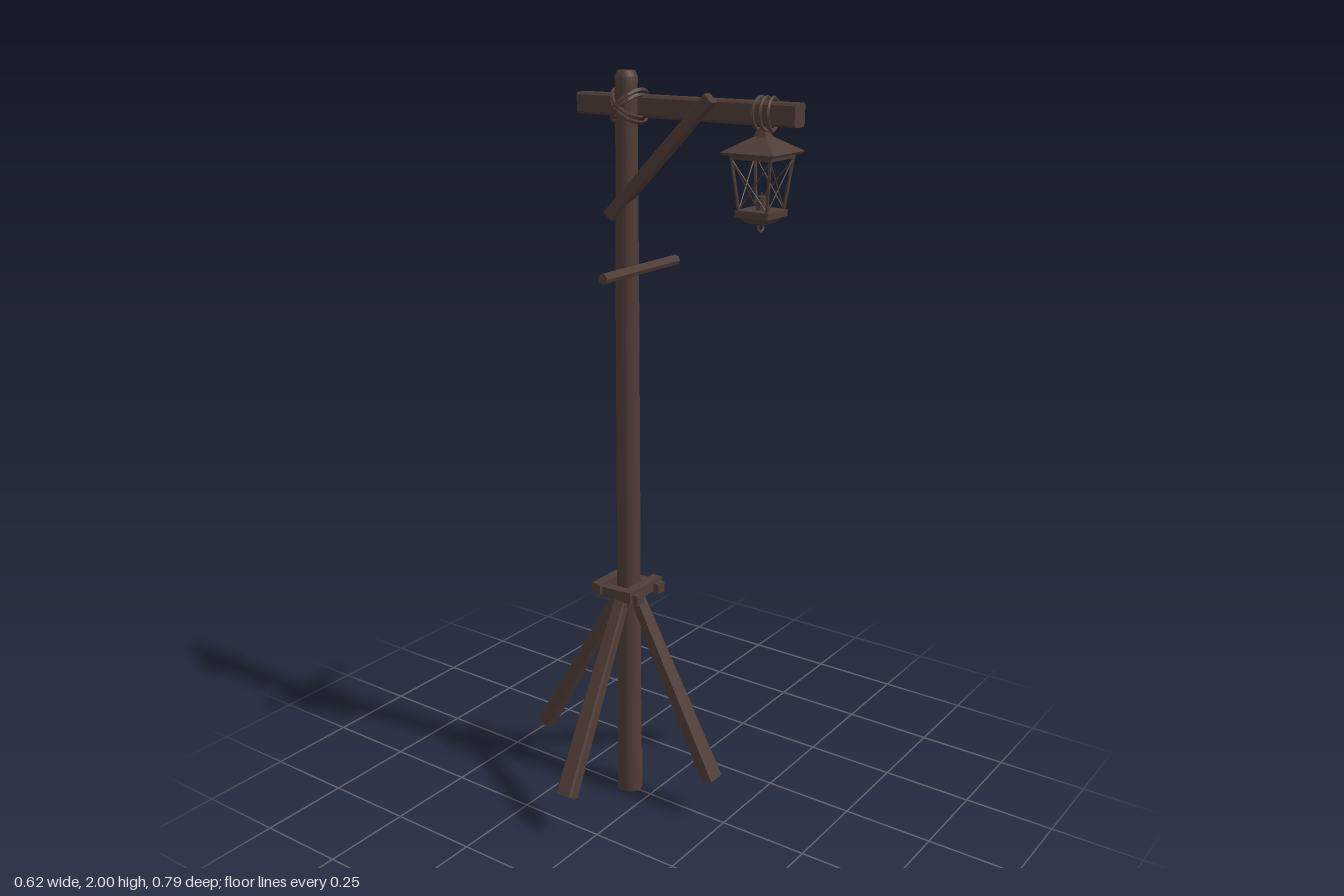
import * as THREE from 'three';
import { toCreasedNormals } from 'three/addons/utils/BufferGeometryUtils.js';

const V = (x, y, z) => new THREE.Vector3(x, y, z);
const POST = { x: 0.005, z: -0.076 };

export function createModel() {
  const model = new THREE.Group();
  model.name = 'lanternPost';
  const wood = new THREE.MeshStandardMaterial({ color: 0x4f3c36 });
  wood.name = 'dark wood';

  function add(name, geometry, parent = model, crease = 0.5) {
    const mesh = new THREE.Mesh(toCreasedNormals(geometry, crease), wood);
    mesh.name = name;
    parent.add(mesh);
    return mesh;
  }

  // Moves a geometry built along y so that it runs from a to b, kept level sideways
  function span(geometry, a, b) {
    const y = b.clone().sub(a).normalize();
    const x = y.clone().cross(V(0, 1, 0));
    if (x.lengthSq() < 1e-6) x.set(1, 0, 0);
    x.normalize();
    const z = x.clone().cross(y);
    const m = new THREE.Matrix4().makeBasis(x, y, z);
    m.setPosition(a.clone().add(b).multiplyScalar(0.5));
    return geometry.applyMatrix4(m);
  }

  function pole(name, a, b, rA, rB, sides, parent) {
    return add(name, span(new THREE.CylinderGeometry(rB, rA, a.distanceTo(b), sides), a, b), parent);
  }

  // Square timber with chamfered corners, half width wA at a and wB at b
  function timber(name, a, b, wA, wB, depth = 0.8) {
    const len = a.distanceTo(b);
    const g = new THREE.CylinderGeometry(1, 1, len, 8, 1, false, Math.PI / 8);
    const p = g.attributes.position;
    const square = (v) => (Math.abs(v) < 0.01 ? 0 : Math.sign(v) * (Math.abs(v) > 0.6 ? 1 : 0.78));
    for (let i = 0; i < p.count; i++) {
      const w = p.getY(i) > 0 ? wB : wA;
      p.setX(i, square(p.getX(i)) * w);
      p.setZ(i, square(p.getZ(i)) * w * depth);
    }
    return add(name, span(g, a, b), model, 0.3);
  }

  // Four-sided frustum with its sides facing the axes
  function frustum(name, half0, half1, y0, y1, parent) {
    const g = new THREE.CylinderGeometry(half1 * Math.SQRT2, half0 * Math.SQRT2, y1 - y0, 4, 1, false, Math.PI / 4);
    g.translate(0, (y0 + y1) / 2, 0);
    return add(name, g, parent, 0.2);
  }

  // Upright post with a worn, rounded head
  const profile = [[0, 0], [0.037, 0], [0.037, 0.11], [0.034, 0.13], [0.033, 0.62], [0.031, 1.4],
    [0.028, 1.95], [0.029, 1.985], [0.022, 2], [0, 2]];
  const post = add('post', new THREE.LatheGeometry(profile.map(([r, y]) => new THREE.Vector2(r, y)), 14), model, 0.6);
  post.position.set(POST.x, 0, POST.z);

  // Four raking struts around the foot
  const struts = [
    ['strutLeft', V(0.02, 0.615, -0.079), V(0.291, 0.118, -0.085)],
    ['strutRight', V(-0.012, 0.615, -0.08), V(-0.291, 0.118, -0.07)],
    ['strutBack', V(0.008, 0.615, -0.095), V(0, 0.118, -0.377)],
    ['strutFront', V(0.006, 0.615, -0.055), V(0.009, 0.118, 0.203)],
  ];
  for (const [name, top, foot] of struts) timber(name, foot, top, 0.026, 0.018);

  // Collar of crossed bars that clamps the struts
  for (const z of [-0.136, -0.034]) {
    const bar = add('collarCrossBar', new THREE.BoxGeometry(0.146, 0.032, 0.028));
    bar.position.set(0.008, 0.629, z);
  }
  for (const x of [-0.041, 0.057]) {
    const bar = add('collarSideBar', new THREE.BoxGeometry(0.028, 0.028, 0.155));
    bar.position.set(x, 0.623, -0.08);
  }

  // Top beam, diagonal brace and cross peg
  timber('beam', V(0.044, 1.914, -0.245), V(0.038, 1.914, 0.395), 0.022, 0.023, 1.2);
  timber('brace', V(-0.016, 1.645, -0.112), V(0.004, 1.945, 0.172), 0.016, 0.015, 1);
  pole('crossPeg', V(-0.14, 1.511, -0.044), V(0.176, 1.511, -0.044), 0.014, 0.014, 8);

  // Crossed rope lashing where the beam meets the post
  for (const tilt of [-0.75, 0.75]) {
    for (const shift of [-0.006, 0.006]) {
      const g = new THREE.TorusGeometry(1, 0.09, 6, 24);
      g.rotateX(Math.PI / 2).scale(0.055, 0.055, 0.049).rotateX(tilt);
      const rope = add('lashing', g, model, 1);
      rope.position.set(0.02, 1.915 + shift, -0.078);
    }
  }

  // Rope turns round the beam that hold the lantern
  [0.29, 0.306, 0.324].forEach((z, i) => {
    const g = new THREE.TorusGeometry(0.032, 0.0045, 6, 20);
    g.scale(1, 1.16, 1).rotateY((i - 1) * 0.12);
    add('hangingRope', g, model, 1).position.set(0.038, 1.913, z);
  });

  // Lantern
  const lantern = new THREE.Group();
  lantern.name = 'lantern';
  lantern.position.set(0.038, 0, 0.298);
  model.add(lantern);
  const loop = add('lanternLoop', new THREE.TorusGeometry(0.012, 0.003, 6, 16), lantern, 1);
  loop.position.y = 1.878;
  frustum('roofCap', 0.018, 0.013, 1.858, 1.872, lantern);
  frustum('roof', 0.073, 0.018, 1.826, 1.86, lantern);
  frustum('eave', 0.069, 0.073, 1.82, 1.826, lantern);
  frustum('topFrame', 0.056, 0.057, 1.81, 1.82, lantern);
  frustum('tray', 0.046, 0.046, 1.674, 1.69, lantern);
  frustum('trayUnderside', 0.024, 0.042, 1.658, 1.674, lantern);
  pole('candle', V(0, 1.688, 0), V(0, 1.722, 0), 0.013, 0.012, 10, lantern);
  pole('wick', V(0, 1.72, 0), V(0, 1.732, 0), 0.003, 0.002, 6, lantern);
  const ring = add('bottomRing', new THREE.TorusGeometry(0.012, 0.003, 6, 16), lantern, 1);
  ring.position.y = 1.649;

  // Corner bars and crossed wires on each of the four open sides
  for (let i = 0; i < 4; i++) {
    const side = new THREE.Group();
    side.name = 'lanternSide';
    side.rotation.y = (i * Math.PI) / 2;
    lantern.add(side);
    const low = 0.039, high = 0.053;
    pole('cornerBar', V(low, 1.688, low), V(high, 1.812, high), 0.004, 0.004, 6, side);
    for (const s of [-1, 1]) {
      pole('crossWire', V(-s * low, 1.69, low), V(s * high, 1.81, high), 0.0018, 0.0018, 5, side);
    }
  }
  return model;
}
